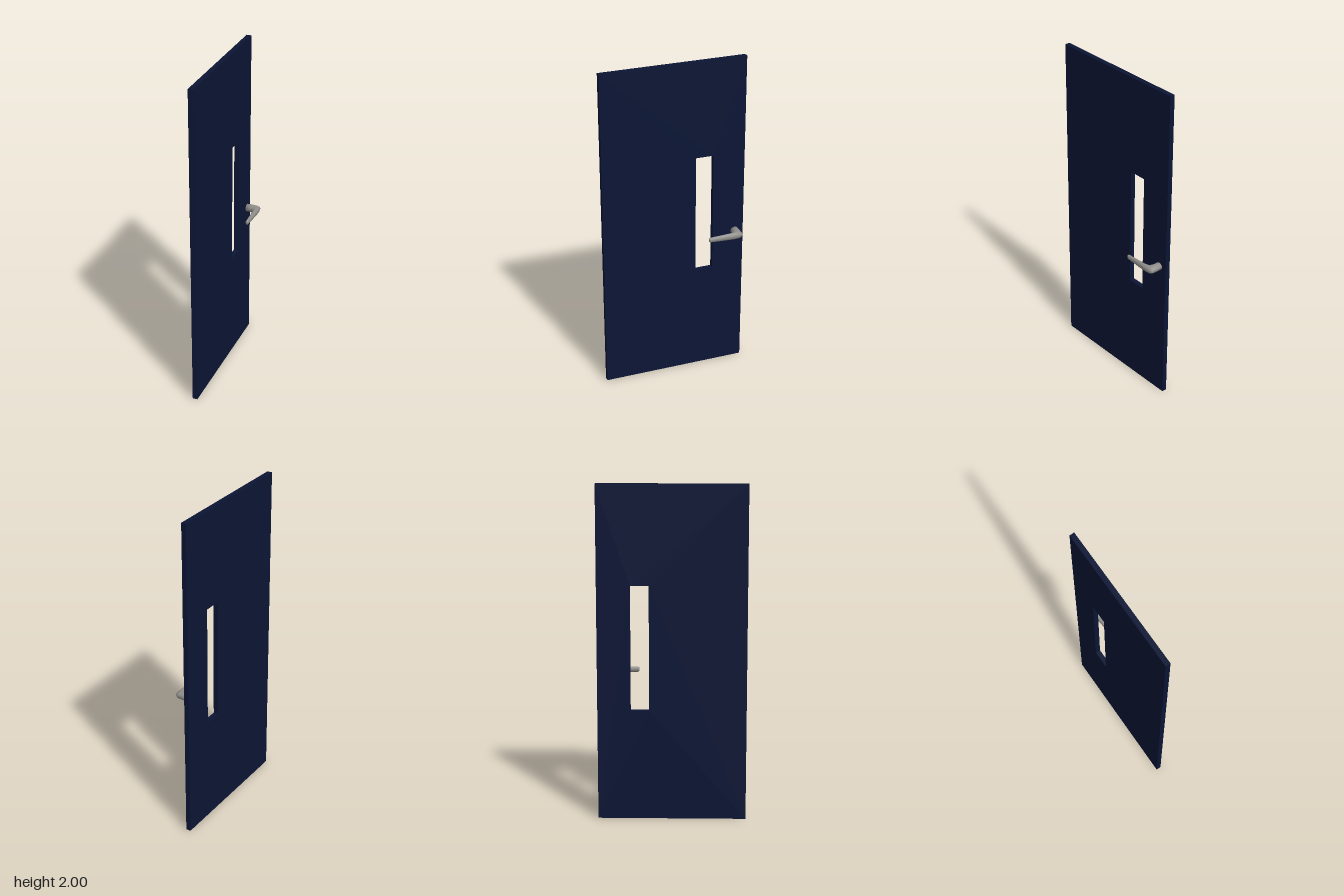
import * as THREE from 'three';

// Rectangle outline, traced counter-clockwise
function rect(path, u0, u1, v0, v1) {
  path.moveTo(u0, v0);
  path.lineTo(u1, v0);
  path.lineTo(u1, v1);
  path.lineTo(u0, v1);
  path.closePath();
  return path;
}

// Door leaf: slab with a narrow window opening
function doorPanel() {
  const shape = rect(new THREE.Shape(), -0.442, 0.442, 0, 2);
  shape.holes.push(rect(new THREE.Path(), -0.245, -0.135, 0.665, 1.41));
  const geo = new THREE.ExtrudeGeometry(shape, { depth: 0.03, bevelEnabled: false });
  geo.rotateY(-Math.PI / 2).translate(-0.03, 0, 0);
  return new THREE.Mesh(geo, new THREE.MeshStandardMaterial({ color: 0x0b1535 }));
}

// Lever handle: oval sections swept round the bend
function leverHandle() {
  // inner x, inner z, outer x, outer z, half height
  const sections = [
    [-0.032, -0.362, -0.032, -0.412, 0.023],
    [0.0, -0.36, 0.0, -0.412, 0.023],
    [0.012, -0.354, 0.043, -0.41, 0.023],
    [0.021, -0.341, 0.054, -0.402, 0.022],
    [0.026, -0.318, 0.058, -0.37, 0.021],
    [0.028, -0.285, 0.056, -0.305, 0.019],
    [0.031, -0.202, 0.05, -0.202, 0.0155],
    [0.034, -0.195, 0.047, -0.195, 0.011],
  ];
  const sides = 12, centreY = 0.895;
  const pos = [], index = [];
  for (const [ix, iz, ox, oz, h] of sections) {
    for (let j = 0; j < sides; j++) {
      const a = (j / sides) * Math.PI * 2;
      const t = 0.5 + 0.5 * Math.cos(a);
      pos.push(ix + (ox - ix) * t, centreY + h * Math.sin(a), iz + (oz - iz) * t);
    }
  }
  for (let i = 0; i < sections.length - 1; i++) {
    for (let j = 0; j < sides; j++) {
      const a = i * sides + j, b = i * sides + (j + 1) % sides;
      index.push(a, b, a + sides, b, b + sides, a + sides);
    }
  }
  // Close the tip and the end buried in the door
  const last = (sections.length - 1) * sides;
  for (let j = 1; j < sides - 1; j++) {
    index.push(last, last + j, last + j + 1);
    index.push(0, j + 1, j);
  }
  const geo = new THREE.BufferGeometry();
  geo.setAttribute('position', new THREE.Float32BufferAttribute(pos, 3));
  geo.setIndex(index);
  geo.computeVertexNormals();
  return new THREE.Mesh(geo, new THREE.MeshStandardMaterial({ color: 0x8f8e8a }));
}

export function createModel() {
  const group = new THREE.Group();
  group.name = 'door';
  const panel = doorPanel();
  panel.name = 'doorPanel';
  const handle = leverHandle();
  handle.name = 'leverHandle';
  group.add(panel, handle);
  return group;
}
